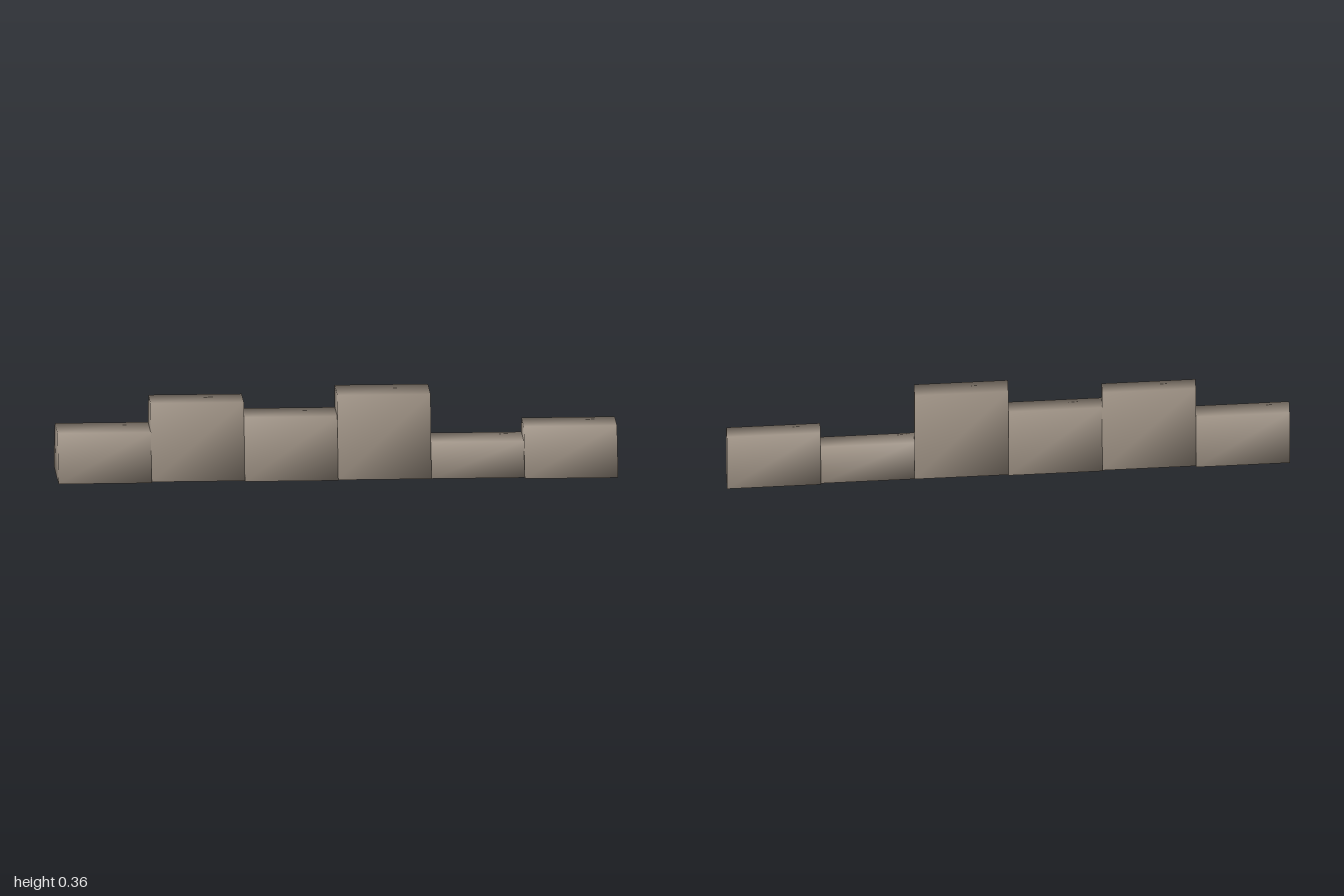
import * as THREE from 'three';

// One tapered block: wide base, narrow top, softly shaded (eight shared corners).
function taperedBlock(length, height, baseHalf, topHalf, drop) {
  const h = length / 2, pos = [];
  for (const x of [-h, h]) {
    const y = x < 0 ? 0 : -drop; // the whole block follows the slope
    pos.push(x, y, baseHalf, x, y, -baseHalf, x, y + height, -topHalf, x, y + height, topHalf);
  }
  const quads = [
    [0, 4, 7, 3], // front
    [5, 1, 2, 6], // back
    [3, 7, 6, 2], // top
    [1, 5, 4, 0], // underside
    [1, 0, 3, 2], // left-hand end
    [4, 5, 6, 7], // right-hand end
  ];
  const g = new THREE.BufferGeometry();
  g.setAttribute('position', new THREE.Float32BufferAttribute(pos, 3));
  g.setIndex(quads.flatMap(([a, b, c, d]) => [a, b, c, a, c, d]));
  g.computeVertexNormals();
  return g;
}

export function createModel() {
  const stone = new THREE.MeshStandardMaterial({ color: 0x998d80 });
  stone.name = 'taupe stone';

  // height, half width at base, half width at top
  const blocks = [
    [0.186, 0.078, 0.044],
    [0.298, 0.069, 0.036],
    [0.239, 0.075, 0.039],
    [0.325, 0.070, 0.044],
    [0.132, 0.069, 0.040],
    [0.189, 0.078, 0.038],
  ];
  const length = 0.338, drop = 0.0133;

  const wall = new THREE.Group();
  wall.name = 'steppedStoneWall';
  blocks.forEach(([height, baseHalf, topHalf], i) => {
    const mesh = new THREE.Mesh(taperedBlock(length, height, baseHalf, topHalf, drop), stone);
    mesh.name = `wallBlock${i + 1}`;
    mesh.position.set((i - 2.5) * length, drop * (6 - i), 0);
    wall.add(mesh);
  });
  // the wall runs diagonally, its right-hand end further back
  wall.rotation.y = Math.atan2(0.28, 0.975);

  const model = new THREE.Group();
  model.name = 'model';
  model.add(wall);
  return model;
}
